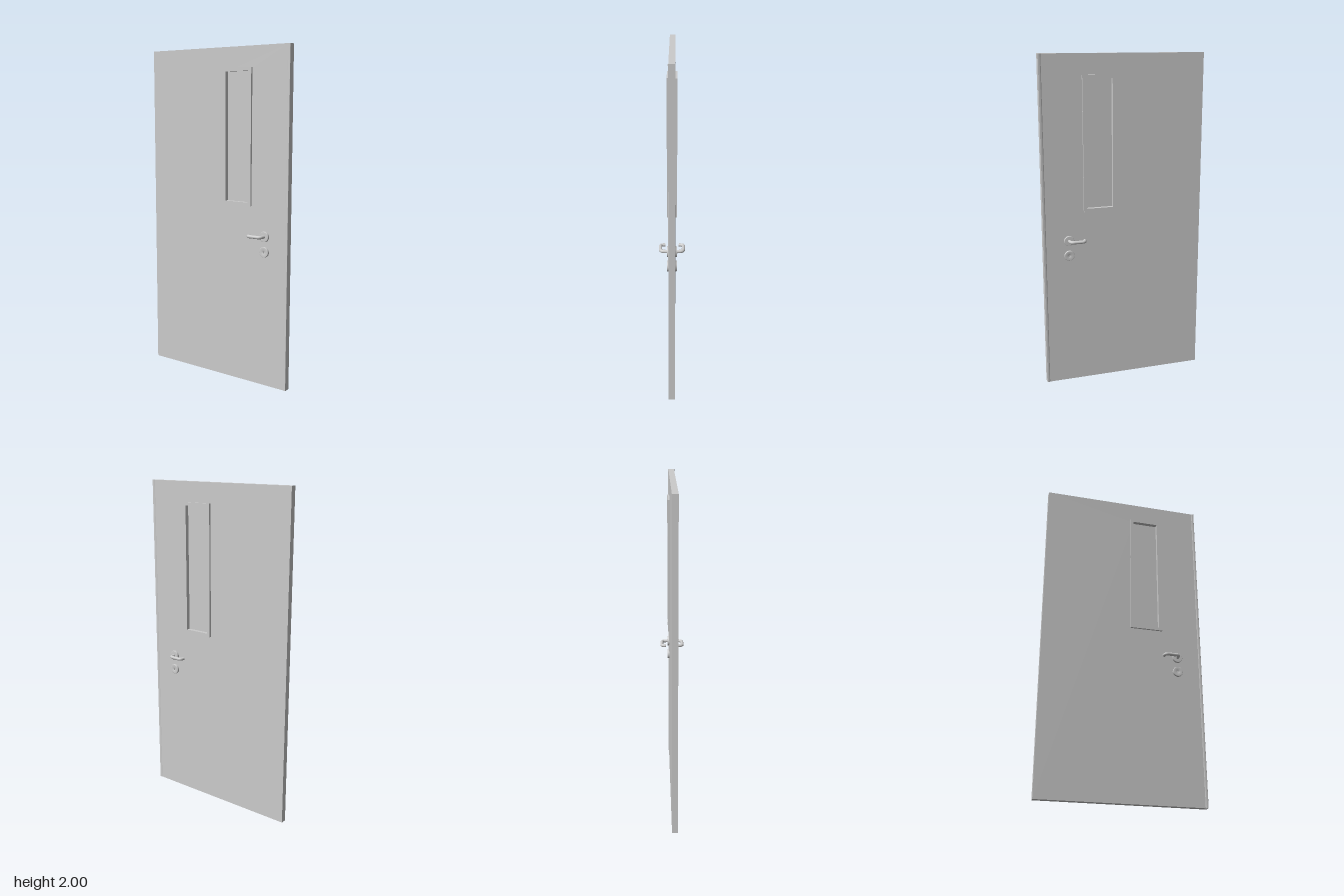
import * as THREE from 'three';

const material = new THREE.MeshStandardMaterial({ color: 0xcccccc });

function add(parent, name, geometry) {
  const mesh = new THREE.Mesh(geometry, material);
  mesh.name = name;
  parent.add(mesh);
  return mesh;
}

function rect(Type, x0, y0, x1, y1) {
  return new Type([[x0, y0], [x1, y0], [x1, y1], [x0, y1]].map(([x, y]) => new THREE.Vector2(x, y)));
}

// Extrusion centred on z = 0
function slab(shape, thickness) {
  return new THREE.ExtrudeGeometry(shape, { depth: thickness, bevelEnabled: false, curveSegments: 24 })
    .translate(0, 0, -thickness / 2);
}

// Round disc lying against the door, with a softened outer rim
function roseGeometry(innerRadius) {
  const profile = [[0.031, 0.016], [0.031, 0.026], [0.0302, 0.028], [0.028, 0.029], [innerRadius, 0.029]];
  if (innerRadius > 0) profile.push([innerRadius, 0.025], [0, 0.025]);
  return new THREE.LatheGeometry(profile.map(([r, h]) => new THREE.Vector2(r, h)), 32).rotateX(Math.PI / 2);
}

// Lever, rose and lock cover for one face, built facing +z
function createHardware() {
  const group = new THREE.Group();
  const x = 0.344, y = 0.908, lockY = 0.816, r = 0.0098;

  add(group, 'handleRose', roseGeometry(0)).position.set(x, y, 0);

  // Lever leaves the rose, runs sideways and returns towards the door
  const path = new THREE.CurvePath();
  const v = (px, pz) => new THREE.Vector3(px, y, pz);
  path.add(new THREE.LineCurve3(v(x, 0.025), v(0.342, 0.046)));
  path.add(new THREE.QuadraticBezierCurve3(v(0.342, 0.046), v(0.341, 0.065), v(0.318, 0.0655)));
  path.add(new THREE.LineCurve3(v(0.318, 0.0655), v(0.273, 0.067)));
  path.add(new THREE.QuadraticBezierCurve3(v(0.273, 0.067), v(0.258, 0.067), v(0.255, 0.053)));
  path.add(new THREE.LineCurve3(v(0.255, 0.053), v(0.253, 0.04)));
  add(group, 'leverHandle', new THREE.TubeGeometry(path, 60, r, 16, false));

  // Flat cap closing the free end
  const cap = add(group, 'leverEnd', new THREE.CircleGeometry(r, 16));
  cap.position.copy(v(0.253, 0.04));
  cap.lookAt(v(0.251, 0.027));

  add(group, 'lockCover', roseGeometry(0.009)).position.set(x, lockY, 0);
  add(group, 'lockKeyway', new THREE.BoxGeometry(0.003, 0.011, 0.004)).position.set(x, lockY, 0.026);
  return group;
}

export function createModel() {
  const door = new THREE.Group();
  door.name = 'door';
  const half = 0.0172;

  // Door leaf with the window opening cut through
  const leaf = rect(THREE.Shape, -0.5, 0, 0.49, 2);
  leaf.holes.push(rect(THREE.Path, 0.07, 1.1, 0.229, 1.86));
  add(door, 'doorLeaf', slab(leaf, half * 2));

  // Slightly flared full-height strip on the closing edge
  const strip = new THREE.Shape();
  strip.moveTo(0.483, -half);
  strip.quadraticCurveTo(0.487, -0.0195, 0.492, -0.0195);
  strip.lineTo(0.499, -0.0195);
  strip.lineTo(0.5, -0.0185);
  strip.lineTo(0.5, 0.0185);
  strip.lineTo(0.499, 0.0195);
  strip.lineTo(0.492, 0.0195);
  strip.quadraticCurveTo(0.487, 0.0195, 0.483, half);
  const stripGeometry = new THREE.ExtrudeGeometry(strip, { depth: 2, bevelEnabled: false, curveSegments: 6 });
  add(door, 'edgeStrip', stripGeometry.rotateX(-Math.PI / 2));

  // Window frame standing proud of both faces, with a recessed pane
  const frame = rect(THREE.Shape, 0.049, 1.08, 0.25, 1.88);
  frame.holes.push(rect(THREE.Path, 0.07, 1.1, 0.229, 1.86));
  add(door, 'windowFrame', slab(frame, 0.058));
  add(door, 'windowPane', new THREE.BoxGeometry(0.161, 0.762, 0.01)).position.set(0.1495, 1.48, 0);

  // Matching hardware on the front and back
  for (const side of [1, -1]) {
    const hardware = createHardware();
    hardware.name = side > 0 ? 'frontHardware' : 'backHardware';
    hardware.scale.z = side;
    door.add(hardware);
  }
  return door;
}
